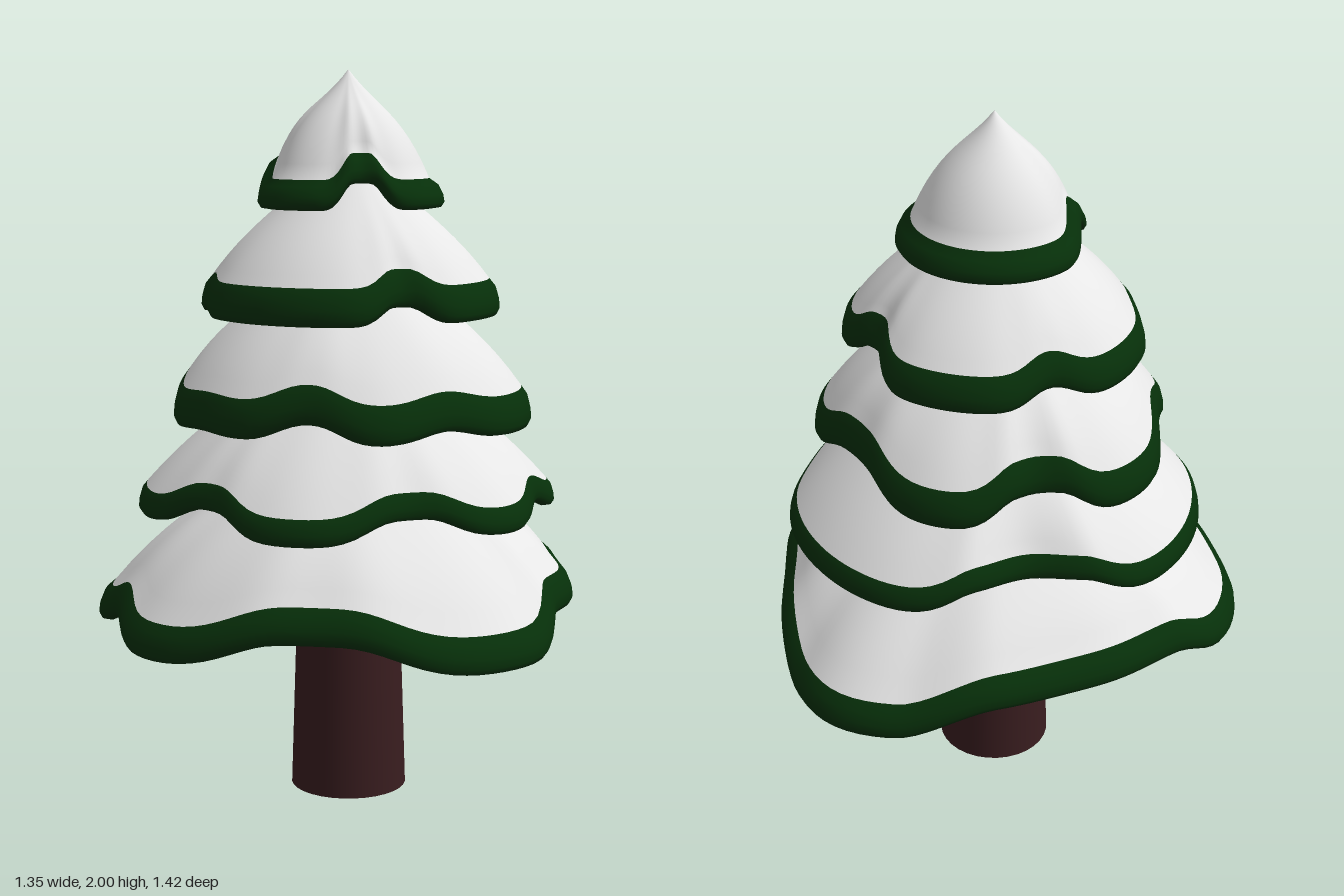
import * as THREE from 'three';

const SEGMENTS = 120;
const SNOW_ROWS = 12;
const UNDER_ROWS = 5;
const TRUNK_RADIUS = 0.1;

// Each tier has a round rim with soft dents: [angle from +x towards +z in degrees, depth, width]
const TIERS = [
  { name: 'bottomTier', radius: 0.71, top: 1.02, low: 0.48, band: 0.095, inset: 0.04, bulge: 0.035, rise: 0.08,
    dents: [[0, 0.045, 10], [70, 0.08, 25], [133, 0.045, 12], [190, 0.03, 14], [219, 0.11, 34], [277, -0.045, 16], [328, 0.1, 30]] },
  { name: 'lowerTier', radius: 0.583, top: 1.26, low: 0.8, band: 0.072, inset: 0.022, bulge: 0.02, rise: 0.055,
    dents: [[43, 0.07, 17], [107, 0.066, 16], [229, 0.125, 22], [350, 0.045, 14]] },
  { name: 'middleTier', radius: 0.508, top: 1.5, low: 1.04, band: 0.105, inset: 0.028, bulge: 0.025, rise: 0.06,
    dents: [[28, 0.03, 18], [75, 0.048, 16], [115, 0.02, 20], [157, 0.05, 17], [225, 0.08, 16], [298, 0.067, 22]] },
  { name: 'upperTier', radius: 0.416, top: 1.72, low: 1.34, band: 0.1, inset: 0.03, bulge: 0.015, rise: 0.045,
    dents: [[38, 0.056, 13], [142, 0.022, 14], [217, 0.04, 14], [303, 0.065, 15]] },
  { name: 'topTier', radius: 0.262, top: 2, low: 1.63, band: 0.08, inset: 0.042, bulge: 0.035, rise: 0.07, pointed: true,
    dents: [[51, 0.048, 17], [105, -0.01, 22], [158, 0.032, 20]] },
];

function rimRadius(tier, degrees) {
  return tier.dents.reduce((r, [at, depth, width]) => {
    const away = THREE.MathUtils.euclideanModulo(degrees - at + 180, 360) - 180;
    return r - depth * Math.exp(-((away / width) ** 2));
  }, tier.radius);
}

// Cross-section at one rim radius: snow slope, rounded rim, hollow underside
function crossSection(tier, R) {
  const { radius, top, low, band, inset, bulge, rise, pointed } = tier;
  // The rim lifts where it is dented
  const raise = rise * THREE.MathUtils.smoothstep(radius - R, 0, 0.02 + 0.08 * radius);
  const bottom = low + raise;
  const r0 = pointed ? 0.0005 : TRUNK_RADIUS;
  const points = [];
  for (let i = 0; i <= SNOW_ROWS; i++) {
    const s = i / SNOW_ROWS;
    points.push([
      r0 + (radius - inset - r0) * s - (radius - R) * s * s,
      top + (low + band - top) * s + raise * s * s + 6.75 * bulge * s * s * (1 - s),
    ]);
  }
  points.push(
    [R - inset * 0.4, bottom + band * 0.78],
    [R - inset * 0.08, bottom + band * 0.45],
    [R, bottom + band * 0.2],
    [R - 0.008, bottom + band * 0.04],
    [R - 0.028, bottom],
  );
  const r1 = R - 0.05, y1 = bottom + 0.012;
  const underTop = top - (pointed ? 0.27 : 0.2);
  for (let i = 0; i <= UNDER_ROWS; i++) {
    const s = i / UNDER_ROWS;
    points.push([r1 + (TRUNK_RADIUS - 0.01 - r1) * s, y1 + (underTop - y1) * s + 0.06 * s * (1 - s)]);
  }
  return points;
}

// Sweeps the cross-sections round the trunk; group 0 is snow, group 1 is green
function tierGeometry(tier) {
  const positions = [], index = [];
  let rows = 0;
  for (let j = 0; j < SEGMENTS; j++) {
    const degrees = (j / SEGMENTS) * 360, a = THREE.MathUtils.degToRad(degrees);
    const section = crossSection(tier, rimRadius(tier, degrees));
    rows = section.length;
    for (const [r, y] of section) positions.push(r * Math.cos(a), y, r * Math.sin(a));
  }
  for (let i = 0; i < rows - 1; i++) {
    for (let j = 0; j < SEGMENTS; j++) {
      const p = j * rows + i, q = ((j + 1) % SEGMENTS) * rows + i;
      index.push(p, q, p + 1, q, q + 1, p + 1);
    }
  }
  const geometry = new THREE.BufferGeometry();
  geometry.setAttribute('position', new THREE.Float32BufferAttribute(positions, 3));
  geometry.setIndex(index);
  geometry.computeVertexNormals();
  const split = SNOW_ROWS * SEGMENTS * 6;
  geometry.addGroup(0, split, 0);
  geometry.addGroup(split, index.length - split, 1);
  return geometry;
}

function material(name, color) {
  const result = new THREE.MeshStandardMaterial({ color });
  result.name = name;
  return result;
}

export function createModel() {
  const snow = material('snow', 0xe6e6e6);
  const needles = material('needles', 0x07300a);
  const bark = material('bark', 0x391d1f);

  const tree = new THREE.Group();
  tree.name = 'snowyTree';
  tree.position.set(-0.002, 0, 0.028);

  // Tapered trunk running up inside the tiers
  const trunk = new THREE.Mesh(new THREE.CylinderGeometry(0.104, 0.162, 1.8, 32), bark);
  trunk.name = 'trunk';
  trunk.position.y = 0.9;
  tree.add(trunk);

  // Wavy branch tiers, snow above and green rim and underside
  for (const tier of TIERS) {
    const mesh = new THREE.Mesh(tierGeometry(tier), [snow, needles]);
    mesh.name = tier.name;
    tree.add(mesh);
  }

  const model = new THREE.Group();
  model.name = 'model';
  model.add(tree);
  return model;
}
